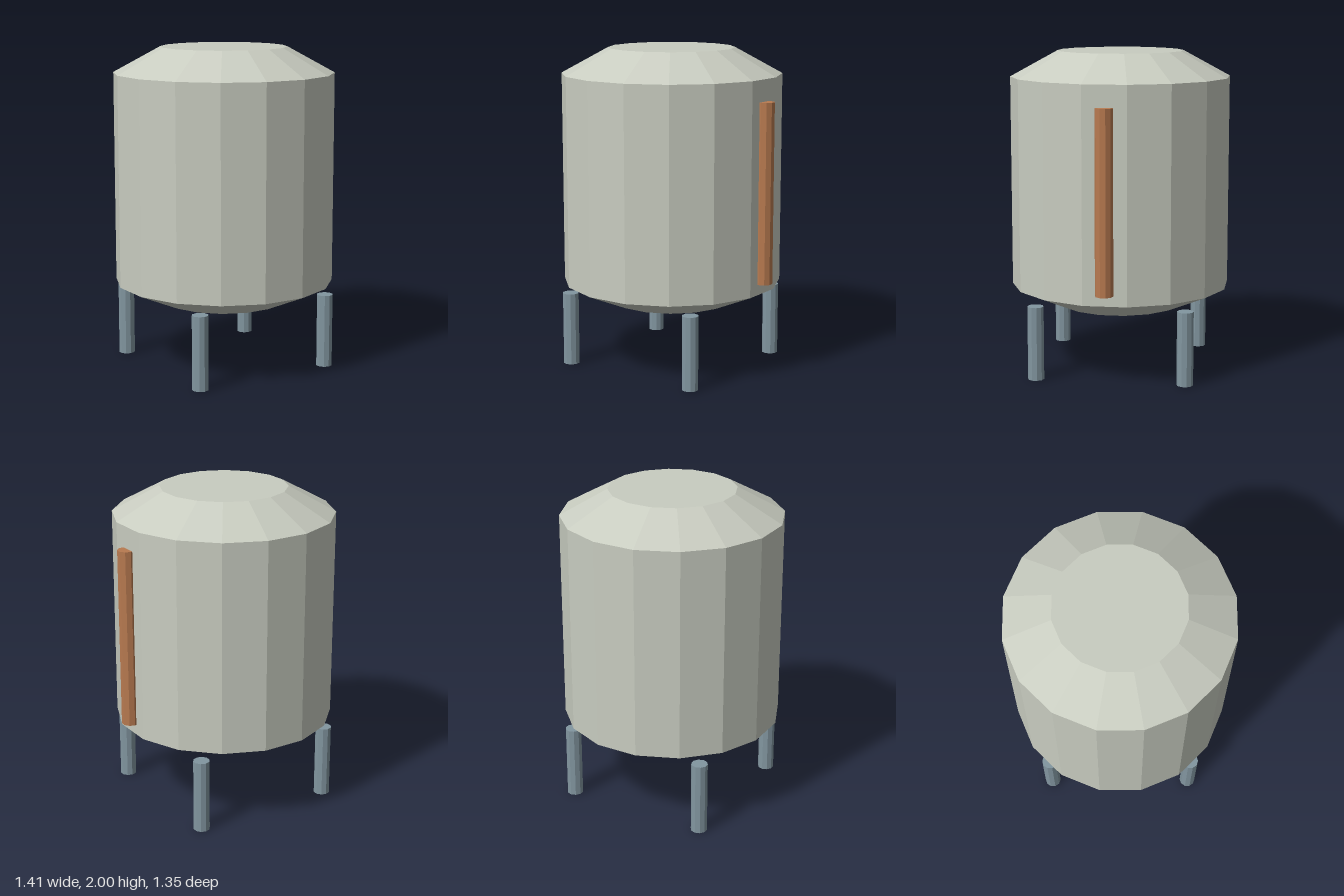
import * as THREE from 'three';

const AXIS_X = -0.033; // tank axis; the side pipe balances the overall width

const paint = (color) => new THREE.MeshStandardMaterial({ color, flatShading: true });

// Upright prism or frustum spanning y0 to y1
function column(name, material, rTop, rBottom, y0, y1, sides, x, z) {
  const geometry = new THREE.CylinderGeometry(rTop, rBottom, y1 - y0, sides);
  const mesh = new THREE.Mesh(geometry, material);
  mesh.name = name;
  mesh.position.set(x, (y0 + y1) / 2, z);
  return mesh;
}

export function createModel() {
  const model = new THREE.Group();
  model.name = 'storageTank';
  const shell = paint(0xc8ccc0);
  const steel = paint(0x8296a0);
  const copper = paint(0xb87a50);

  // Sixteen-sided shell with sloped ends, flats facing the axes
  const tank = new THREE.Group();
  tank.name = 'tank';
  tank.position.x = AXIS_X;
  tank.rotation.y = Math.PI / 16;
  tank.add(
    column('tankBody', shell, 0.686, 0.686, 0.527, 1.84, 16, 0, 0),
    column('tankTop', shell, 0.393, 0.686, 1.84, 2, 16, 0, 0),
    column('tankBottom', shell, 0.686, 0.393, 0.4, 0.527, 16, 0, 0)
  );
  model.add(tank);

  // Four legs just outside the sloped bottom
  for (const sx of [-1, 1]) {
    for (const sz of [-1, 1]) {
      const name = (sz > 0 ? 'front' : 'back') + (sx > 0 ? 'Left' : 'Right') + 'Leg';
      model.add(column(name, steel, 0.051, 0.051, 0, 0.46, 10, AXIS_X + sx * 0.458, sz * 0.461));
    }
  }

  // Vertical pipe half sunk into the left side
  model.add(column('sidePipe', copper, 0.055, 0.055, 0.593, 1.706, 10, 0.651, 0));
  return model;
}
